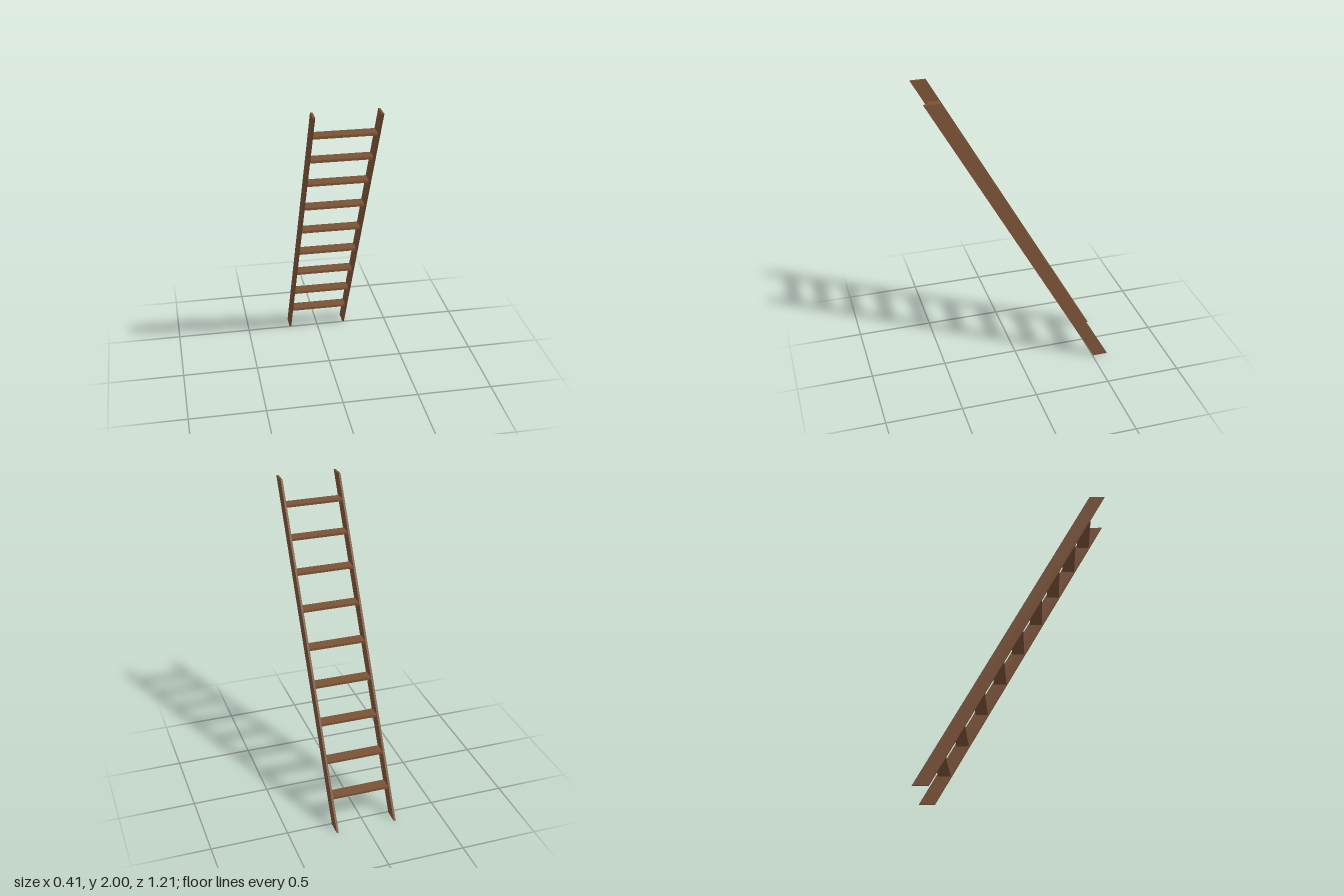
import * as THREE from 'three';

export function createModel() {
  const ladder = new THREE.Group();
  ladder.name = 'ladder';
  const wood = new THREE.MeshStandardMaterial({ color: 0x7a5236, flatShading: true });

  const railX = 0.196, railThick = 0.013, railDepth = 0.1;
  const slope = 0.556; // z travel per unit of height
  const leanZ = (y) => (y - 1) * slope;

  // Side rails: upright boards sheared forward, so both ends stay level
  for (const [name, side] of [['leftRail', 1], ['rightRail', -1]]) {
    const geo = new THREE.BoxGeometry(railThick, 2, railDepth);
    geo.translate(side * railX, 1, 0);
    const p = geo.attributes.position;
    for (let i = 0; i < p.count; i++) p.setZ(i, p.getZ(i) + leanZ(p.getY(i)));
    geo.computeVertexNormals();
    const rail = new THREE.Mesh(geo, wood);
    rail.name = name;
    ladder.add(rail);
  }

  // Flat treads between the rails, slightly unevenly spaced
  const treadGeo = new THREE.BoxGeometry(2 * railX - railThick, 0.016, 0.081);
  const heights = [0.19, 0.39, 0.604, 0.818, 1.032, 1.249, 1.459, 1.656, 1.845];
  heights.forEach((y, i) => {
    const tread = new THREE.Mesh(treadGeo, wood);
    tread.name = `tread${i + 1}`;
    tread.position.set(0, y, leanZ(y));
    ladder.add(tread);
  });

  return ladder;
}
